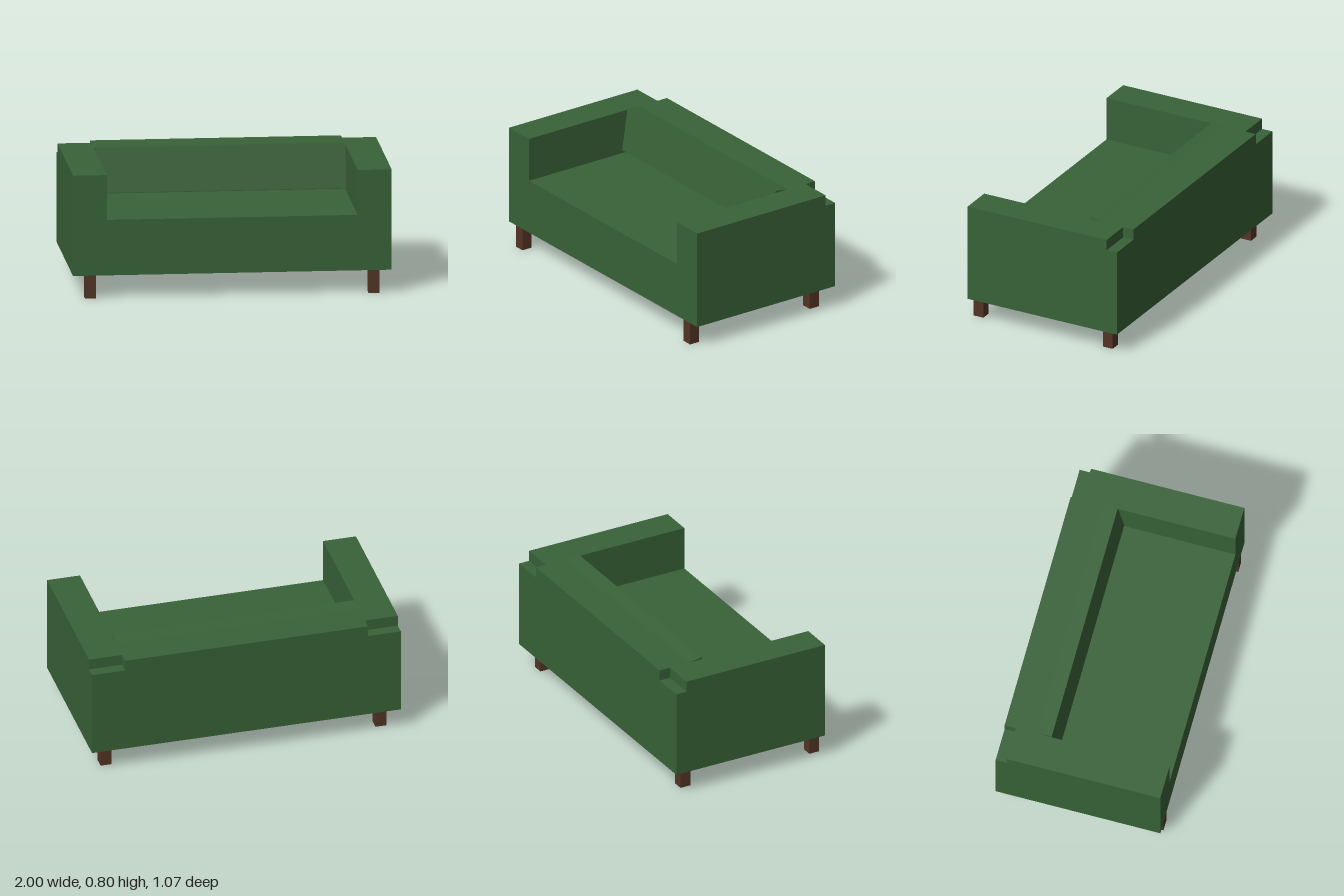
import * as THREE from 'three';

const HALF_W = 1, INNER = 0.787;          // outer half width, half width between the arms
const BOTTOM = 0.146, SEAT = 0.5, TOP = 0.786, LEDGE = 0.715;
const FRONT = 0.533, BACK = -0.533, ARM_BACK = -0.46, REST_FRONT = -0.27;

export function createModel() {
  const fabric = new THREE.MeshStandardMaterial({ color: 0x386237 });
  fabric.name = 'green fabric';
  const wood = new THREE.MeshStandardMaterial({ color: 0x523424 });
  wood.name = 'brown wood';

  const sofa = new THREE.Group();
  sofa.name = 'sofa';

  const add = (name, geometry, material) => {
    const mesh = new THREE.Mesh(geometry, material);
    mesh.name = name;
    sofa.add(mesh);
    return mesh;
  };

  // Box given by its limits on each axis
  const box = (name, [x0, x1], [y0, y1], [z0, z1], material) => {
    const mesh = add(name, new THREE.BoxGeometry(x1 - x0, y1 - y0, z1 - z0), material);
    mesh.position.set((x0 + x1) / 2, (y0 + y1) / 2, (z0 + z1) / 2);
    return mesh;
  };

  // Front outline, stepped at the inner faces of the arms, pulled along z
  const steppedSlab = (name, outerY, innerY, z0, z1) => {
    const shape = new THREE.Shape([
      [-HALF_W, BOTTOM], [HALF_W, BOTTOM], [HALF_W, outerY], [INNER, outerY],
      [INNER, innerY], [-INNER, innerY], [-INNER, outerY], [-HALF_W, outerY],
    ].map(([x, y]) => new THREE.Vector2(x, y)));
    const geometry = new THREE.ExtrudeGeometry(shape, { depth: z1 - z0, bevelEnabled: false });
    add(name, geometry, fabric).position.z = z0;
  };

  // Seat with both arms, then the rear panel with its lowered corners
  steppedSlab('seatAndArms', TOP, SEAT, ARM_BACK, FRONT);
  steppedSlab('rearPanel', LEDGE, TOP, BACK, ARM_BACK);

  // Upright backrest between the arms
  box('backrest', [-INNER, INNER], [SEAT, TOP], [ARM_BACK, REST_FRONT], fabric);

  // Back cushion leaning backwards, set by its upper front edge
  const height = 0.281, depth = 0.13;
  const cushion = add('backCushion',
    new THREE.BoxGeometry(2 * INNER - 0.004, height, depth).translate(0, -height / 2, -depth / 2), fabric);
  cushion.position.set(0, 0.8, -0.228);
  cushion.rotation.x = -0.15;

  // Four square legs
  for (const [side, label] of [[1, 'left'], [-1, 'right']]) {
    const x = side * 0.89;
    box(label + 'FrontLeg', [x - 0.035, x + 0.035], [0, BOTTOM], [FRONT - 0.07, FRONT], wood);
    box(label + 'BackLeg', [x - 0.035, x + 0.035], [0, BOTTOM], [-0.461, -0.391], wood);
  }

  return sofa;
}
